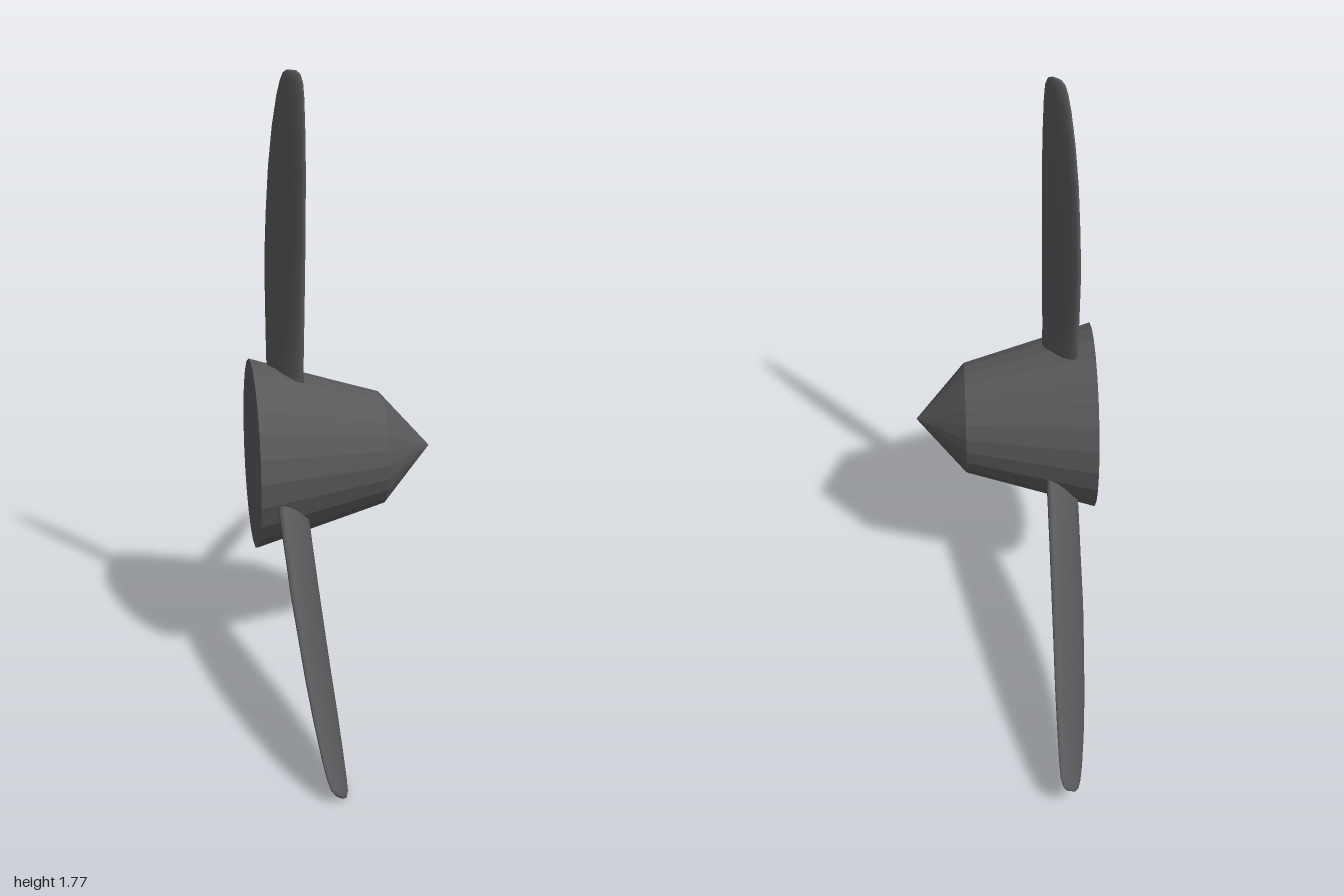
import * as THREE from 'three';

const AXIS_Y = 0.617;

// One blade, pointing up from the hub axis: loops of lens-shaped sections.
// Each row: radius, x and z of the trailing edge, x and z of the leading edge, half thickness.
function bladeGeometry() {
  const rows = [
    [0.18, -0.214, -0.052, -0.122, 0.060, 0.024],
    [0.30, -0.215, -0.064, -0.122, 0.065, 0.023],
    [0.45, -0.215, -0.080, -0.120, 0.078, 0.021],
    [0.58, -0.215, -0.087, -0.118, 0.086, 0.020],
    [0.72, -0.210, -0.084, -0.116, 0.090, 0.018],
    [0.86, -0.203, -0.070, -0.114, 0.089, 0.017],
    [0.98, -0.193, -0.049, -0.114, 0.083, 0.015],
    [1.07, -0.182, -0.024, -0.115, 0.075, 0.013],
    [1.115, -0.174, -0.006, -0.117, 0.067, 0.011],
    [1.138, -0.167, 0.007, -0.123, 0.057, 0.008],
    [1.147, -0.158, 0.018, -0.132, 0.044, 0.004],
  ];
  const n = 16, pos = [], index = [];
  for (const [r, xa, za, xb, zb, t] of rows) {
    const ux = (xb - xa) / 2, uz = (zb - za) / 2, len = Math.hypot(ux, uz);
    for (let i = 0; i < n; i++) {
      const a = (i / n) * Math.PI * 2, c = Math.cos(a), s = Math.sin(a) * t / len;
      pos.push((xa + xb) / 2 + ux * c + uz * s, r, (za + zb) / 2 + uz * c - ux * s);
    }
  }
  for (let k = 0; k < rows.length - 1; k++) {
    for (let i = 0; i < n; i++) {
      const j = (i + 1) % n, a = k * n + i, b = k * n + j;
      index.push(a, b, b + n, a, b + n, a + n);
    }
  }
  // Close the tip and the root
  const top = (rows.length - 1) * n;
  for (let i = 1; i < n - 1; i++) {
    index.push(top, top + i, top + i + 1);
    index.push(0, i + 1, i);
  }
  const g = new THREE.BufferGeometry();
  g.setAttribute('position', new THREE.Float32BufferAttribute(pos, 3));
  g.setIndex(index);
  g.computeVertexNormals();
  return g;
}

export function createModel() {
  const model = new THREE.Group();
  model.name = 'propeller';
  const metal = new THREE.MeshStandardMaterial({ color: 0x58585a });
  metal.name = 'dark grey metal';

  const add = (name, geometry) => {
    const mesh = new THREE.Mesh(geometry, metal);
    mesh.name = name;
    mesh.position.y = AXIS_Y;
    model.add(mesh);
    return mesh;
  };
  // Faceted round part along the x axis
  const turned = (rFront, rBack, x0, x1, open) => {
    const g = new THREE.CylinderGeometry(rFront, rBack, x1 - x0, 24, 1, open)
      .rotateZ(-Math.PI / 2).translate((x0 + x1) / 2, 0, 0).toNonIndexed();
    g.computeVertexNormals();
    return g;
  };

  // Spinner
  add('hub', turned(0.17, 0.285, -0.27, 0.12, false));
  add('noseCone', turned(0, 0.17, 0.12, 0.27, true));

  // Three blades around the x axis
  const blade = bladeGeometry();
  for (let i = 0; i < 3; i++) {
    add('blade' + (i + 1), blade).rotation.x = (i * Math.PI * 2) / 3;
  }
  return model;
}
